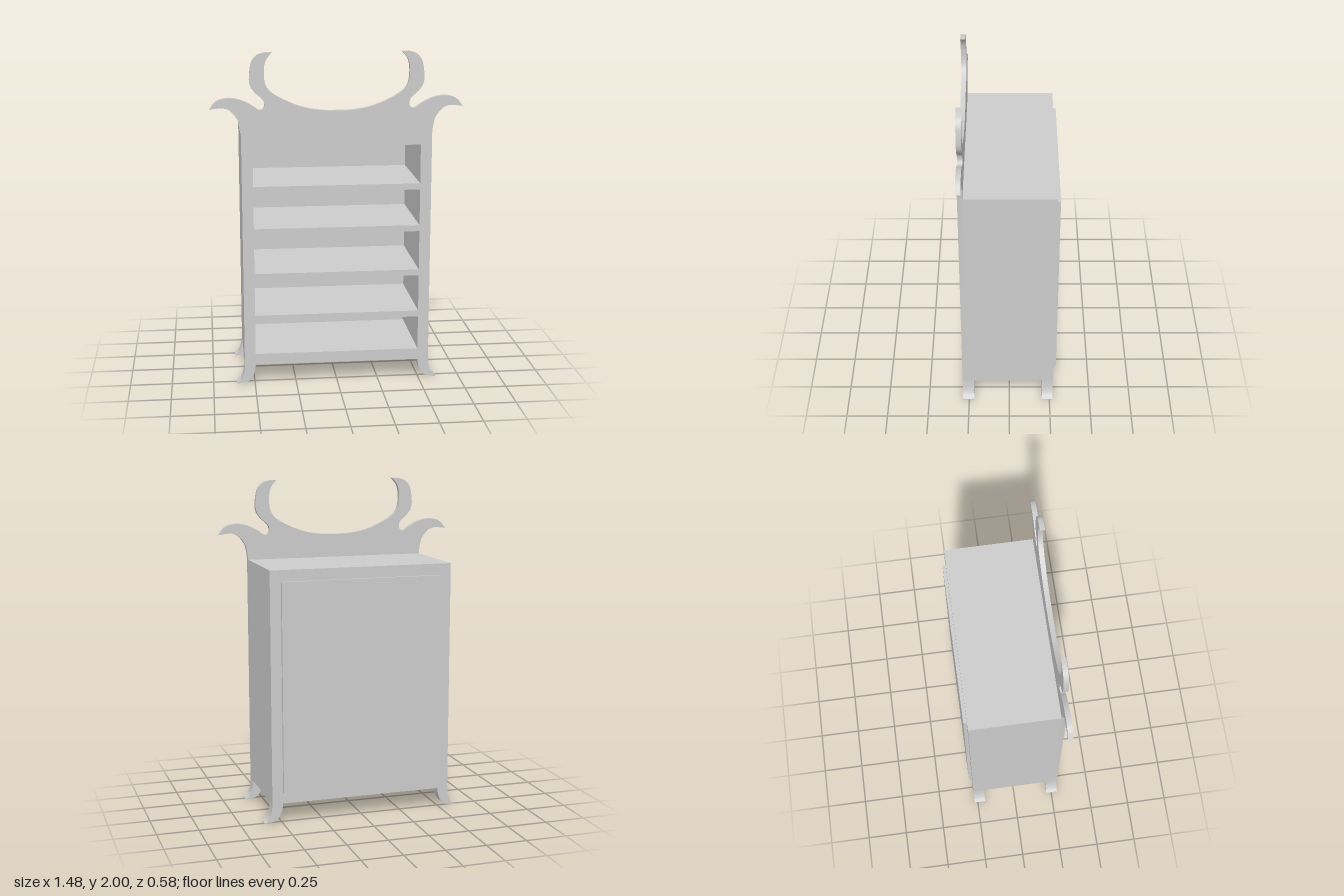
import * as THREE from 'three';
import { toCreasedNormals } from 'three/addons/utils/BufferGeometryUtils.js';

const material = new THREE.MeshStandardMaterial({ color: 0xcccccc });
const HALF = 0.56, BOTTOM = 0.117, TOP = 1.518;   // carcass
const OPEN = 0.494;                               // half width of the openings
const FRONT = 0.29, FACE = 0.26, BACK = -0.27;    // depth planes
const OPENINGS = [[0.185, 0.39], [0.428, 0.65], [0.687, 0.925], [0.962, 1.18], [1.217, 1.45]];

// Smooth run of points through [x, y] pairs
const smooth = (pairs, n) => new THREE.SplineCurve(pairs.map(p => new THREE.Vector2(...p))).getPoints(n);
const mirror = points => points.map(p => new THREE.Vector2(-p.x, p.y));
const rect = (w, y0, y1) => [[-w, y0], [w, y0], [w, y1], [-w, y1]].map(p => new THREE.Vector2(...p));

// Extrude an outline between two depths
function slab(name, points, z0, z1, holes = []) {
  const shape = new THREE.Shape(points);
  shape.holes = holes.map(h => new THREE.Path(h));
  const geometry = new THREE.ExtrudeGeometry(shape, { depth: z1 - z0, bevelEnabled: false });
  geometry.translate(0, 0, z0);
  const mesh = new THREE.Mesh(toCreasedNormals(geometry, 0.6), material);
  mesh.name = name;
  return mesh;
}

export function createModel() {
  const group = new THREE.Group();
  group.name = 'shelfCabinet';
  const holes = OPENINGS.map(([y0, y1]) => rect(OPEN, y0, y1));

  // Carcass with five compartments, closed by the back panel
  group.add(slab('carcass', rect(HALF, BOTTOM, TOP), BACK, FACE, holes));
  group.add(slab('backPanel', rect(OPEN, 0.185, 1.45), -0.29, BACK));

  // Front frame: flared side horn, upright horn, then the sagging crest
  const flareUnder = smooth([[HALF, 1.52], [0.566, 1.57], [0.58, 1.617], [0.622, 1.667], [0.67, 1.682], [0.738, 1.675]], 20);
  const hornOuter = smooth([[0.738, 1.675], [0.70, 1.721], [0.638, 1.739], [0.564, 1.729], [0.495, 1.695],
    [0.463, 1.672], [0.438, 1.67], [0.423, 1.69], [0.431, 1.727], [0.476, 1.769], [0.503, 1.81], [0.508, 1.861],
    [0.495, 1.941], [0.463, 1.983], [0.42, 1.998], [0.376, 2]], 70);
  const crest = smooth([[0.376, 2], [0.411, 1.955], [0.423, 1.895], [0.416, 1.819], [0.378, 1.766],
    [0.283, 1.713], [0.177, 1.676], [0.071, 1.661], [0, 1.66]], 40);
  const half = [new THREE.Vector2(HALF, BOTTOM), ...flareUnder, ...hornOuter.slice(1), ...crest.slice(1)];
  const outline = [...half, ...mirror(half).reverse().slice(1)];
  group.add(slab('frontFrame', outline, FACE, FRONT, holes));

  // Four splayed feet
  const foot = [
    ...smooth([[OPEN, BOTTOM], [0.502, 0.07], [0.52, 0.034], [0.55, 0.01], [0.608, 0]], 16),
    ...smooth([[0.608, 0.004], [0.586, 0.02], [0.57, 0.05], [0.563, 0.085], [HALF, BOTTOM]], 16),
  ];
  for (const [end, z0, z1] of [['front', 0.217, FRONT], ['back', BACK, -0.2]]) {
    group.add(slab(end + 'LeftFoot', foot, z0, z1));
    group.add(slab(end + 'RightFoot', mirror(foot), z0, z1));
  }
  return group;
}
